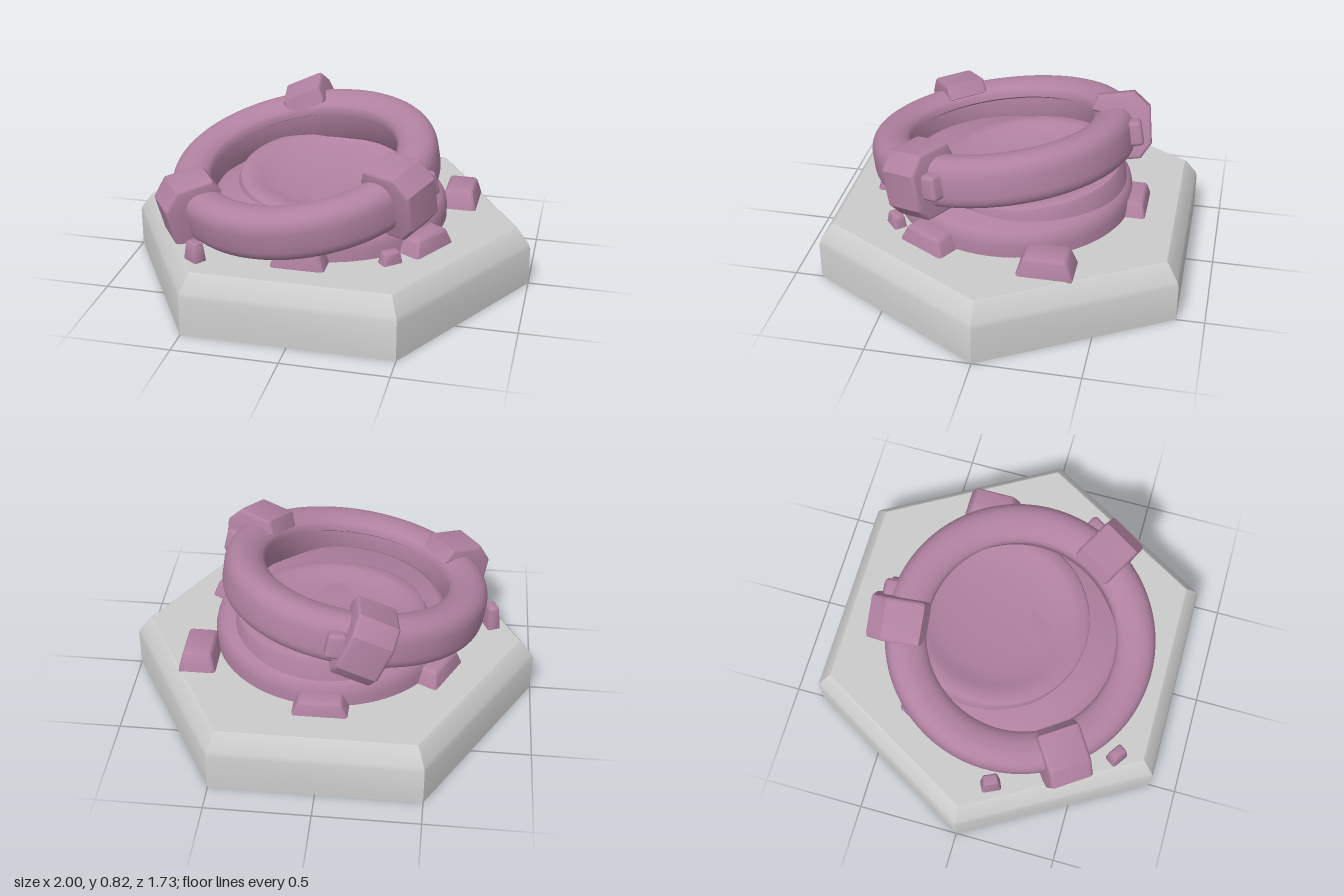
import * as THREE from 'three';
import { toCreasedNormals } from 'three/addons/utils/BufferGeometryUtils.js';
import { RoundedBoxGeometry } from 'three/addons/geometries/RoundedBoxGeometry.js';

const grey = new THREE.MeshStandardMaterial({ color: 0xcccccc });
const purple = new THREE.MeshStandardMaterial({ color: 0xb081a0 });
const UP = new THREE.Vector3(0, 1, 0);
const points = (list) => list.map(([x, y]) => new THREE.Vector2(x, y));

function addMesh(parent, name, geometry, material = purple) {
  const mesh = new THREE.Mesh(geometry, material);
  mesh.name = name;
  parent.add(mesh);
  return mesh;
}

function lathe(profile, segments, crease = 0.6) {
  return toCreasedNormals(new THREE.LatheGeometry(points(profile), segments), crease);
}

// Rounded block that narrows towards its top
function chunk(w, h, d, taper = 0.7) {
  const geo = new RoundedBoxGeometry(w, h, d, 3, Math.min(w, h, d) * 0.2);
  const p = geo.attributes.position;
  for (let i = 0; i < p.count; i++) {
    const k = 1 - (1 - taper) * (p.getY(i) / h + 0.5);
    p.setX(i, p.getX(i) * k);
    p.setZ(i, p.getZ(i) * k);
  }
  geo.computeVertexNormals();
  return toCreasedNormals(geo, 0.7);
}

// Closed band section: rounded outside, small step on the inner wall
function bandProfile() {
  const s = new THREE.Shape();
  s.moveTo(0.50, -0.12);
  s.lineTo(0.58, -0.12);
  s.quadraticCurveTo(0.645, -0.115, 0.652, -0.05);
  s.lineTo(0.652, 0.04);
  s.quadraticCurveTo(0.645, 0.115, 0.57, 0.122);
  s.quadraticCurveTo(0.49, 0.12, 0.46, 0.075);
  s.lineTo(0.458, 0.045);
  s.lineTo(0.485, 0.03);
  s.lineTo(0.485, -0.10);
  s.closePath();
  return s.getPoints(8).map((v) => [v.x, v.y]);
}

// Bracket section (radius, height) extruded along the band
function clampGeometry(width) {
  const bevel = 0.018;
  const shape = new THREE.Shape(points([
    [0.52, -0.15], [0.66, -0.15], [0.715, -0.09], [0.725, 0.08],
    [0.66, 0.155], [0.49, 0.155], [0.465, 0.10], [0.53, 0.07],
  ]));
  const geo = new THREE.ExtrudeGeometry(shape, {
    depth: width - 2 * bevel, bevelThickness: bevel, bevelSize: bevel, bevelOffset: -0.008, bevelSegments: 3,
  });
  geo.translate(0, 0, -width / 2 + bevel);
  return toCreasedNormals(geo, 0.6);
}

export function createModel() {
  const model = new THREE.Group();
  model.name = 'model';

  // Six-sided plinth with a chamfered top
  const plinth = new THREE.LatheGeometry(points([
    [0, 0], [1, 0], [1, 0.19], [0.99, 0.215], [0.935, 0.288], [0.925, 0.295], [0, 0.295],
  ]), 6).rotateY(Math.PI / 2);
  addMesh(model, 'plinth', toCreasedNormals(plinth, 0.45), grey);

  // Round foot with a tilted dish on it
  addMesh(model, 'foot', lathe([
    [0.58, 0.28], [0.58, 0.35], [0.573, 0.385], [0.555, 0.415], [0.525, 0.43], [0, 0.43],
  ], 64));
  const dish = addMesh(model, 'dish', lathe([
    [0.475, -0.08], [0.465, 0.02], [0.455, 0.04], [0.435, 0.05], [0.385, 0.05],
    [0.35, 0.034], [0.28, 0.018], [0.18, 0.006], [0, 0],
  ], 64, 0.5));
  dish.position.set(0, 0.44, -0.07);
  dish.quaternion.setFromUnitVectors(UP, new THREE.Vector3(0, 1, 0.1).normalize());

  // Slanted open band
  const band = new THREE.Group();
  band.name = 'slantedBand';
  band.position.set(-0.1, 0.54, 0.08);
  band.quaternion.setFromUnitVectors(UP, new THREE.Vector3(-0.14, 1, 0.16).normalize());
  model.add(band);
  addMesh(band, 'bandRing', lathe(bandProfile(), 80, 0.7));

  // Three brackets around the band: angle, roll, side of the knob (0 = none)
  const clampShape = clampGeometry(0.21);
  for (const [angle, roll, knob] of [[145, 0, 0], [29, 0, -1], [262, -0.28, 1]]) {
    const holder = new THREE.Group();
    holder.name = 'bracket';
    holder.rotation.y = -THREE.MathUtils.degToRad(angle);
    band.add(holder);
    addMesh(holder, 'bracketBody', clampShape).rotation.x = roll;
    if (knob) {
      const block = addMesh(holder, 'bracketKnob', chunk(0.1, 0.12, 0.1, 0.85));
      block.position.set(0.64, 0.01, knob * 0.13);
    }
  }

  // Blocks around the foot: x, z, radial size, height, width, turn in degrees
  const blocks = [
    [0, 0.6, 0.16, 0.10, 0.27, 90],
    [0.52, 0.30, 0.16, 0.08, 0.28, 30],
    [-0.52, -0.27, 0.16, 0.08, 0.28, 207],
    [0, -0.59, 0.15, 0.07, 0.28, 270],
    [0.62, -0.27, 0.19, 0.09, 0.28, 0],
    [0.40, 0.50, 0.07, 0.06, 0.11, 50],
    [-0.48, 0.67, 0.07, 0.09, 0.10, 125],
    [-0.78, 0.12, 0.07, 0.12, 0.10, 155],
  ];
  for (const [x, z, w, h, d, turn] of blocks) {
    const block = addMesh(model, 'looseBlock', chunk(w, h + 0.02, d));
    block.position.set(x, 0.285 + h / 2, z);
    block.rotation.y = -THREE.MathUtils.degToRad(turn);
  }
  return model;
}
